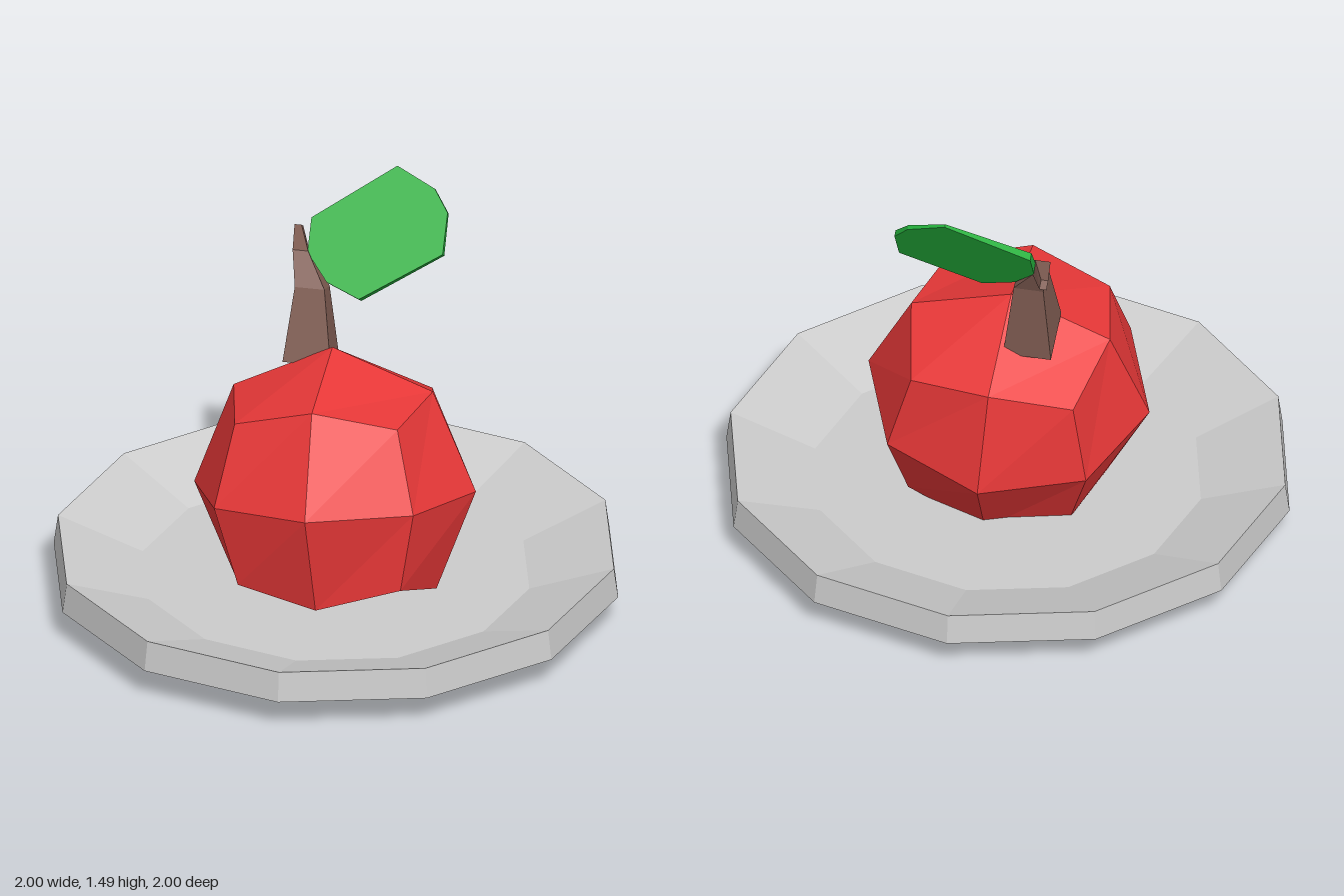
import * as THREE from 'three';

function addMesh(group, name, geometry, color) {
  const material = new THREE.MeshStandardMaterial({ color, flatShading: true });
  const mesh = new THREE.Mesh(geometry, material);
  mesh.name = name;
  group.add(mesh);
}

// Closed skin over a stack of rings with equal point counts
function loft(rings) {
  const n = rings[0].length, last = (rings.length - 1) * n, index = [];
  for (let r = 0; r < rings.length - 1; r++) {
    for (let i = 0; i < n; i++) {
      const a = r * n + i, b = r * n + (i + 1) % n;
      index.push(a, b, b + n, a, b + n, a + n);
    }
  }
  for (let i = 1; i < n - 1; i++) {
    index.push(0, i + 1, i, last, last + i, last + i + 1);
  }
  const geometry = new THREE.BufferGeometry();
  geometry.setAttribute('position', new THREE.Float32BufferAttribute(rings.flat(2), 3));
  geometry.setIndex(index);
  geometry.computeVertexNormals();
  return geometry;
}

export function createModel() {
  const model = new THREE.Group();

  // Shallow twelve-sided plate
  const profile = [[0, 0], [0.65, 0], [1, 0.11], [0.985, 0.22], [0.685, 0.11], [0, 0.11]];
  addMesh(model, 'plate',
    new THREE.LatheGeometry(profile.map(([x, y]) => new THREE.Vector2(x, y)), 12), 0xcccccc);

  // Fruit: a 2x2x2 box rounded to a ball, base pushed in, leaning back
  const fruit = new THREE.BoxGeometry(1, 1, 1, 2, 2, 2);
  const p = fruit.attributes.position, v = new THREE.Vector3();
  for (let i = 0; i < p.count; i++) {
    v.fromBufferAttribute(p, i).normalize().multiplyScalar(0.5);
    if (v.y < -0.45) v.y = -0.33;
    p.setXYZ(i, v.x, v.y, v.z);
  }
  fruit.rotateX(-0.22).rotateZ(0.065).translate(0.005, 0.46, 0.04);
  fruit.computeVertexNormals();
  addMesh(model, 'fruit', fruit, 0xe83838);

  // Four-sided stem, tapering and bending to the back: left x, right x, front y z, back y z
  const stem = [
    [-0.2, -0.03, 0.88, -0.05, 0.8, -0.22],
    [-0.175, -0.07, 1.13, -0.14, 1.1, -0.23],
    [-0.2, -0.145, 1.23, -0.225, 1.195, -0.265],
    [-0.222, -0.197, 1.255, -0.365, 1.236, -0.395],
  ].map(([l, r, fy, fz, by, bz]) => [[l, fy, fz], [r, fy, fz], [r, by, bz], [l, by, bz]]);
  addMesh(model, 'stem', loft(stem), 0x7f5c52);

  // Leaf: slanted outline, thinner toward its upper edge
  const outline = [[-0.15, 1.32], [-0.15, 1.22], [-0.07, 1.14], [0.05, 1.1],
    [0.325, 1.25], [0.325, 1.37], [0.27, 1.435], [0.13, 1.49]];
  const front = outline.map(([x, y]) => [x, y, -0.15 - 0.71 * (y - 1.1)]);
  const back = front.map(([x, y, z]) => {
    const t = 0.05 - 0.1 * (y - 1.1);
    return [x, y - 0.55 * t, z - 0.82 * t];
  });
  addMesh(model, 'leaf', loft([back, front]), 0x24b03c);

  return model;
}
